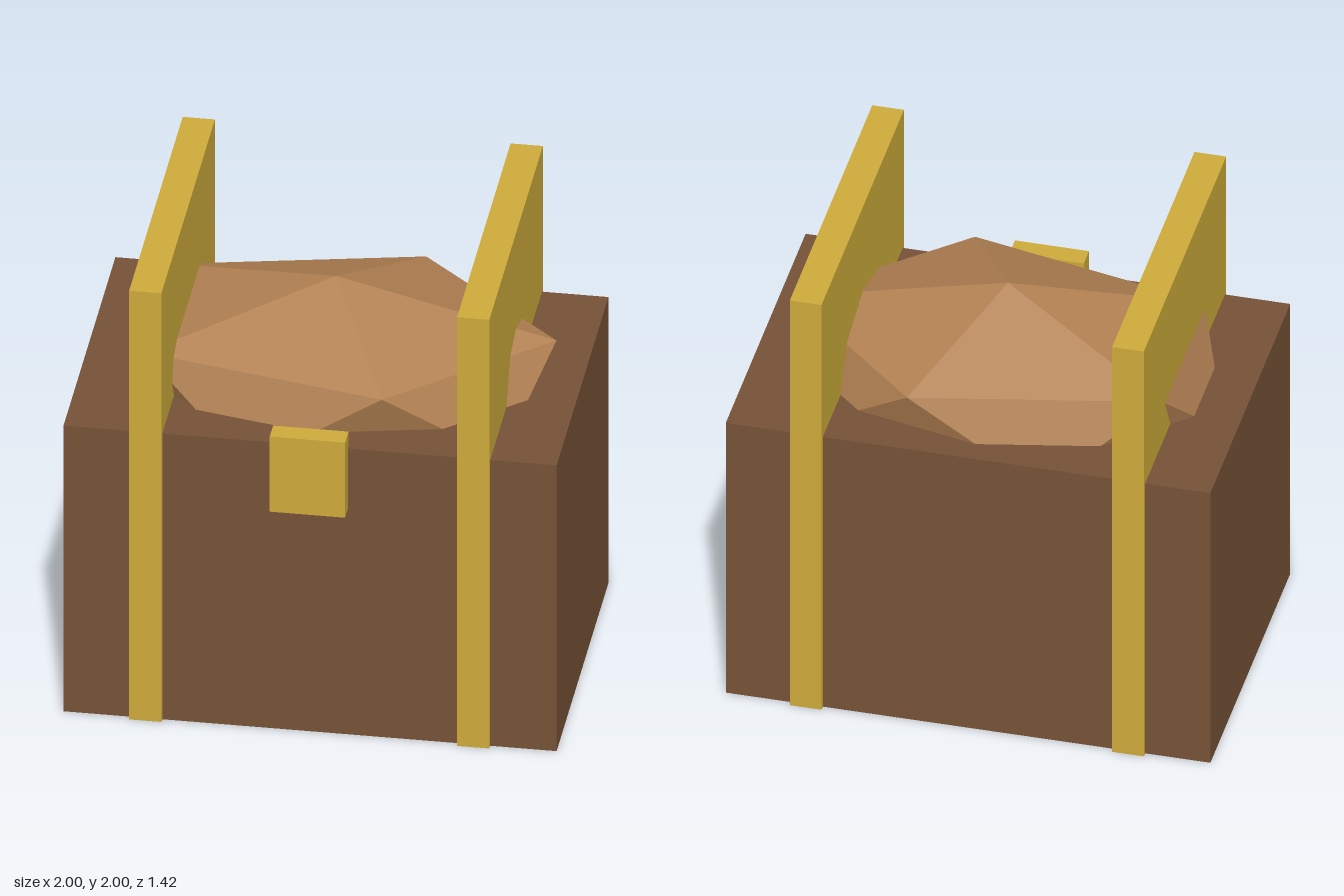
import * as THREE from 'three';
import { ConvexGeometry } from 'three/addons/geometries/ConvexGeometry.js';

const MID_Z = -0.023;

function material(name, color) {
  const m = new THREE.MeshStandardMaterial({ color });
  m.name = name;
  return m;
}

function box(name, mat, size, position) {
  const mesh = new THREE.Mesh(new THREE.BoxGeometry(...size), mat);
  mesh.name = name;
  mesh.position.set(...position);
  return mesh;
}

// Twenty-sided ball with its poles on the y axis
function facetedBall() {
  const points = [new THREE.Vector3(0, 1, 0), new THREE.Vector3(0, -1, 0)];
  const h = 1 / Math.sqrt(5);
  for (let i = 0; i < 5; i++) {
    const a = (i * Math.PI * 2) / 5;
    const x = 2 * h * Math.cos(a), z = 2 * h * Math.sin(a);
    points.push(new THREE.Vector3(x, h, z), new THREE.Vector3(-x, -h, -z));
  }
  return new ConvexGeometry(points);
}

export function createModel() {
  const darkWood = material('dark wood', 0x765237);
  const lightWood = material('light wood', 0xb28152);
  const brass = material('brass', 0xcdaa3b);
  const chest = new THREE.Group();
  chest.name = 'chest';

  // Body
  chest.add(box('body', darkWood, [2, 1.333, 1.333], [0, 0.6667, MID_Z]));

  // Faceted domed lid, sunk halfway into the body
  const lid = new THREE.Mesh(facetedBall(), lightWood);
  lid.name = 'lid';
  lid.scale.set(1, 0.395, 0.667);
  lid.position.set(0, 1.337, MID_Z);
  chest.add(lid);

  // Tall bands on both sides
  for (const [name, side] of [['leftBand', 1], ['rightBand', -1]]) {
    chest.add(box(name, brass, [0.131, 2, 1.376], [side * 0.665, 1, MID_Z]));
  }

  // Latch plate on the front
  chest.add(box('latch', brass, [0.306, 0.35, 0.088], [0, 1.225, 0.667]));

  return chest;
}
